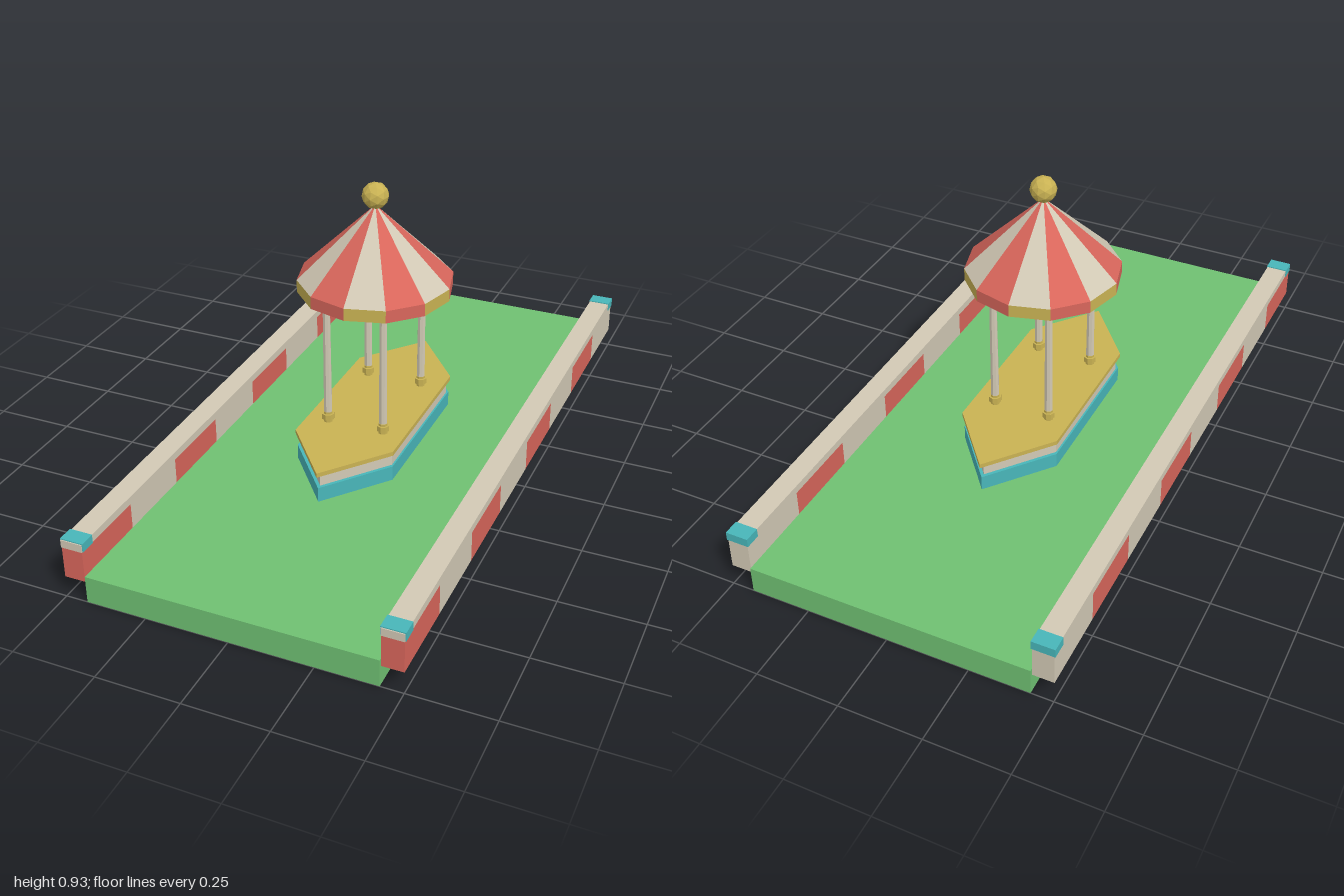
import * as THREE from 'three';

const mat = (name, color) => new THREE.MeshStandardMaterial({ name, color, flatShading: true });

export function createModel() {
  const green = mat('grass green', 0x6fc072);
  const cream = mat('cream', 0xd2c9b5);
  const red = mat('red', 0xd8665b);
  const gold = mat('gold', 0xc9b253);
  const teal = mat('teal', 0x48b6b9);

  const model = new THREE.Group();
  model.name = 'canopyIsland';

  const add = (name, geometry, material, x = 0, y = 0, z = 0, parent = model) => {
    const mesh = new THREE.Mesh(geometry, material);
    mesh.name = name;
    mesh.position.set(x, y, z);
    parent.add(mesh);
    return mesh;
  };
  // Box given by its centre in x and z, and its bottom and top
  const box = (name, w, y0, y1, d, material, x, z, parent) =>
    add(name, new THREE.BoxGeometry(w, y1 - y0, d), material, x, (y0 + y1) / 2, z, parent);

  // Ground slab
  box('ground', 0.866, 0, 0.084, 2, green, 0, 0);

  // Striped side walls with a rail and corner caps
  for (const side of [1, -1]) {
    const wall = new THREE.Group();
    wall.name = side > 0 ? 'leftWall' : 'rightWall';
    model.add(wall);
    const x = side * 0.467;
    for (let i = 0; i < 8; i++) {
      const front = i === 0 ? 0.997 : 1 - i * 0.25;
      const back = i === 7 ? -0.994 : 0.75 - i * 0.25;
      box('wallBlock', 0.064, 0.065, 0.163, front - back, i % 2 ? cream : red, x, (front + back) / 2, wall);
    }
    box('rail', 0.066, 0.163, 0.187, 1.994, cream, x, 0.002, wall);
    for (const end of [1, -1])
      box('cornerCap', 0.07, 0.163, 0.19, 0.048, teal, x, end * 0.972, wall);
  }

  // Pointed hexagonal island in three layers
  const layer = (name, s, y0, y1, material) => {
    const shape = new THREE.Shape(
      [[0, 0.44], [-0.16, 0.245], [-0.16, -0.245], [0, -0.44], [0.16, -0.245], [0.16, 0.245]]
        .map(([x, z]) => new THREE.Vector2(x * s, z * s)));
    const geometry = new THREE.ExtrudeGeometry(shape, { depth: y1 - y0, bevelEnabled: false });
    geometry.rotateX(-Math.PI / 2);
    add(name, geometry, material, 0, y0, 0);
  };
  layer('islandBase', 0.98, 0.083, 0.131, teal);
  layer('islandMiddle', 0.945, 0.131, 0.173, cream);
  layer('islandTop', 1, 0.173, 0.187, gold);

  // Four posts with collars
  for (const x of [-0.091, 0.091])
    for (const z of [-0.157, 0.157]) {
      add('post', new THREE.CylinderGeometry(0.0115, 0.0135, 0.41, 8), cream, x, 0.39, z);
      add('postFoot', new THREE.CylinderGeometry(0.0142, 0.0142, 0.036, 8), gold, x, 0.204, z);
      add('postCollar', new THREE.CylinderGeometry(0.02, 0.02, 0.018, 8), gold, x, 0.206, z);
    }

  // Twelve-sided canopy: one colour per facet, alternating
  const stripe = (geometry) => {
    const n = geometry.index.count / 12;
    geometry.clearGroups();
    for (let i = 0; i < 12; i++) geometry.addGroup(i * n, n, i % 2);
    return geometry;
  };
  const R = 0.237;
  add('canopyRoof', stripe(new THREE.ConeGeometry(R, 0.231, 12, 1, true)), [cream, red], 0, 0.7425, 0);
  add('canopySkirt', stripe(new THREE.CylinderGeometry(R, R, 0.039, 12, 1, true)), [gold, red], 0, 0.6075, 0);
  // Disc turned to face down, with its corners matching the skirt
  add('canopyUnderside', new THREE.CircleGeometry(R, 12).rotateX(Math.PI / 2), gold, 0, 0.588, 0);

  // Ball on the peak
  add('finial', new THREE.IcosahedronGeometry(0.041, 1), gold, 0, 0.887, 0);

  return model;
}
